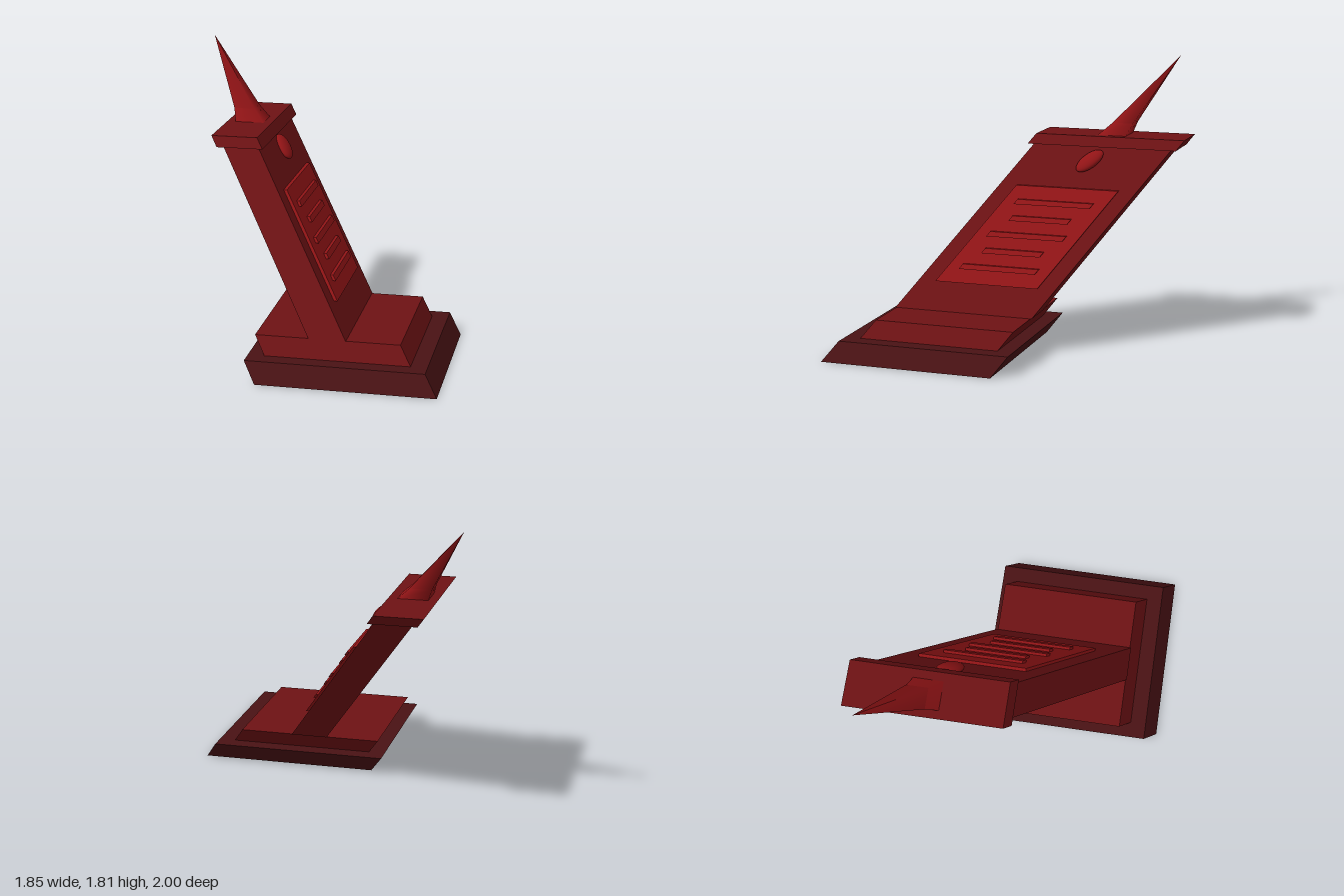
import * as THREE from 'three';

// Everything is built upright round one axis, then leaned back and sideways by one shear.
const LEAN = 0.708, AXIS_X = 0.355, AXIS_Z = 0.435;

export function createModel() {
  const model = new THREE.Group();
  model.name = 'leaningMonument';

  const material = (name, color) => {
    const m = new THREE.MeshStandardMaterial({ color });
    m.name = name;
    return m;
  };
  const darkStone = material('dark maroon', 0x4a1214);
  const redStone = material('deep red', 0x6e1214);
  const brightRed = material('bright red', 0x921416);

  const shear = new THREE.Matrix4().set(
    1, -LEAN, 0, AXIS_X,
    0, 1, 0, 0,
    0, -LEAN, 1, AXIS_Z,
    0, 0, 0, 1);

  const add = (name, geometry, mat, x, y, parent = model) => {
    geometry.translate(x, y, 0).applyMatrix4(shear);
    const mesh = new THREE.Mesh(geometry, mat);
    mesh.name = name;
    parent.add(mesh);
  };
  // Box given by its x range, y range and half depth
  const slab = (name, mat, x0, x1, y0, y1, halfZ, parent) =>
    add(name, new THREE.BoxGeometry(x1 - x0, y1 - y0, halfZ * 2), mat, (x0 + x1) / 2, (y0 + y1) / 2, parent);

  // Stepped base, shaft and cap
  slab('plinth', darkStone, -0.565, 0.565, 0, 0.12, 0.565);
  slab('upperStep', redStone, -0.46, 0.46, 0.12, 0.227, 0.462);
  slab('shaft', redStone, -0.118, 0.118, 0.227, 1.245, 0.47);
  slab('cap', redStone, -0.153, 0.153, 1.245, 1.31, 0.507);

  // Raised panel with alternating long and short bars
  slab('panel', brightRed, 0.11, 0.14, 0.4, 0.99, 0.35);
  const bars = new THREE.Group();
  bars.name = 'panelBars';
  model.add(bars);
  for (let i = 0; i < 5; i++) {
    const y = 0.4985 + i * 0.0992;
    slab('bar' + (i + 1), brightRed, 0.13, 0.159, y - 0.015, y + 0.015, i % 2 ? 0.2 : 0.26, bars);
  }

  // Round boss above the panel
  add('boss', new THREE.SphereGeometry(1, 32, 20).scale(0.042, 0.069, 0.069), brightRed, 0.134, 1.158);

  // Four-sided finial: flared foot and tall spike, softly shaded
  const foursided = (top, bottom, height) =>
    new THREE.CylinderGeometry(top * Math.SQRT2, bottom * Math.SQRT2, height, 4).rotateY(Math.PI / 4);
  add('finialFoot', foursided(0.07, 0.096, 0.075), brightRed, 0, 1.3475);
  add('finialSpike', foursided(0, 0.07, 0.425), brightRed, 0, 1.5975);

  return model;
}
